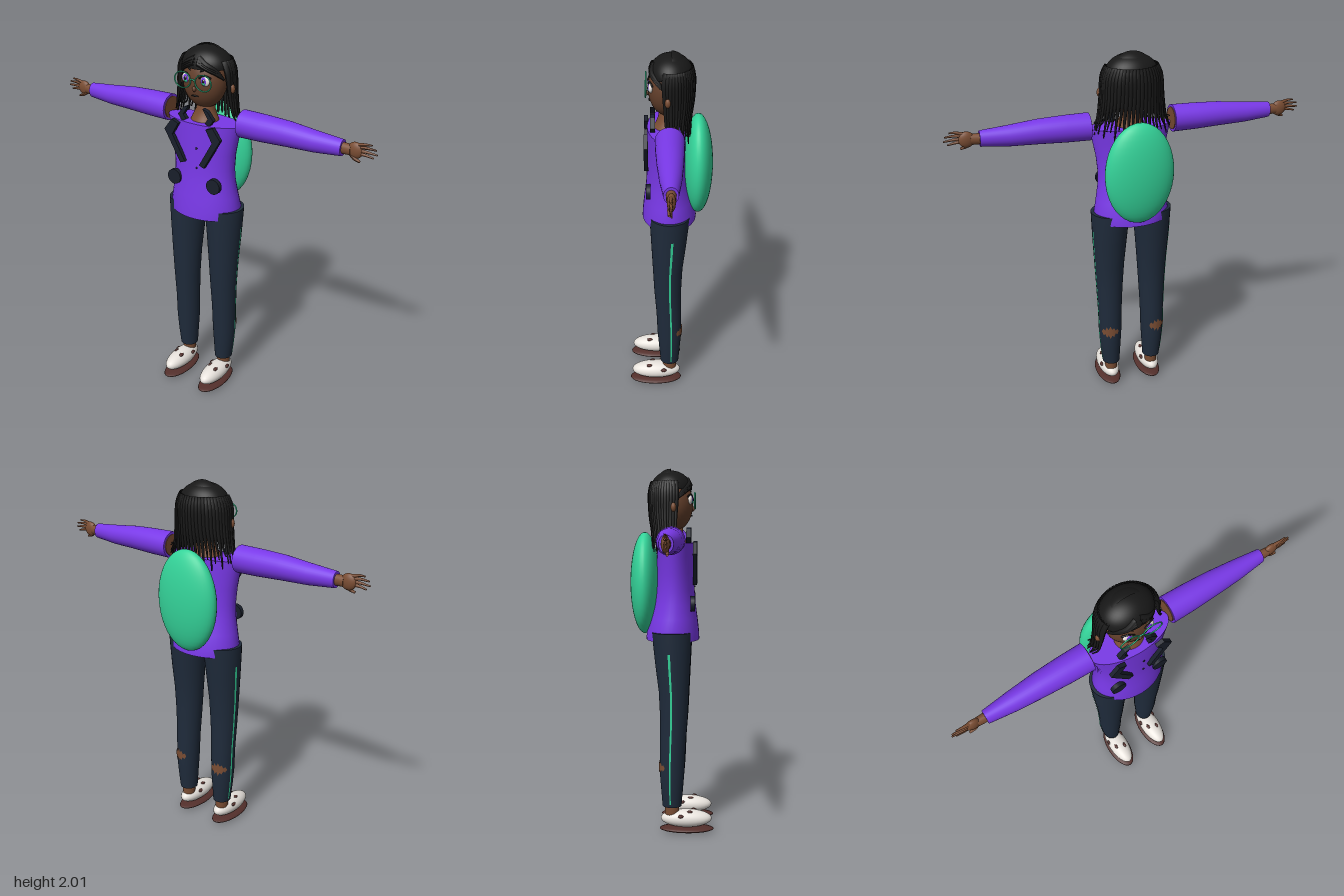
import * as THREE from 'three';

const mat = (name, color, side = THREE.FrontSide) => {
  const m = new THREE.MeshStandardMaterial({ color, side });
  m.name = name;
  return m;
};

// Leg cross-sections, bottom to top: [y, centre x, centre z, radius x, radius z]
const LEG = [
  [0.15, 0.125, 0, 0.05, 0.053], [0.25, 0.128, 0, 0.059, 0.061], [0.35, 0.129, 0, 0.066, 0.069],
  [0.5, 0.128, 0.004, 0.069, 0.071], [0.65, 0.127, 0.01, 0.076, 0.076], [0.8, 0.126, 0.01, 0.085, 0.083],
  [0.95, 0.124, 0.004, 0.096, 0.096], [1.08, 0.121, 0, 0.105, 0.106], [1.13, 0.119, -0.002, 0.109, 0.108],
];
const TORSO = [
  [1.08, 0, 0, 0.205, 0.148], [1.13, 0, 0, 0.21, 0.145], [1.2, 0, 0.005, 0.197, 0.132],
  [1.28, 0, 0.01, 0.185, 0.116], [1.36, 0, 0.013, 0.182, 0.107], [1.45, 0, 0.015, 0.191, 0.104],
  [1.54, 0, 0.015, 0.21, 0.102], [1.61, 0, 0.015, 0.225, 0.101],
];

// Surface from a grid of points, optionally wrapped around
function grid(rows, cols, wrap, point) {
  const pos = [], idx = [], n = wrap ? cols : cols + 1;
  for (let i = 0; i <= rows; i++) for (let j = 0; j < n; j++) pos.push(...point(i, j));
  for (let i = 0; i < rows; i++) for (let j = 0; j < cols; j++) {
    const a = i * n + j, b = i * n + (j + 1) % n;
    idx.push(a, b, b + n, a, b + n, a + n);
  }
  const g = new THREE.BufferGeometry();
  g.setAttribute('position', new THREE.Float32BufferAttribute(pos, 3));
  g.setIndex(idx);
  g.computeVertexNormals();
  return g;
}

const onRing = ([y, cx, cz, rx, rz], a, off = 0) =>
  [cx + (rx + off) * Math.sin(a), y, cz + (rz + off) * Math.cos(a)];

// Closed loft with crisp flat ends
function loft(sections, sides = 32) {
  const a = sections[0], b = sections[sections.length - 1];
  const flat = s => [s[0], s[1], s[2], 0, 0];
  const all = [flat(a), a, ...sections, b, flat(b)];
  return grid(all.length - 1, sides, true, (i, j) => onRing(all[i], (j / sides) * Math.PI * 2));
}

// Leg cross-section at any height, for details that lie on the trousers
function legAt(y, s) {
  let k = 0;
  while (k < LEG.length - 2 && LEG[k + 1][0] < y) k++;
  const t = (y - LEG[k][0]) / (LEG[k + 1][0] - LEG[k][0]);
  const r = LEG[k].map((v, i) => v + (LEG[k + 1][i] - v) * t);
  r[1] *= s;
  return r;
}

// Tube along a curve whose radius runs from r0 to r1
function taper(points, r0, r1, steps = 10, sides = 7) {
  const curve = new THREE.CatmullRomCurve3(points.map(p => new THREE.Vector3(...p)));
  const g = new THREE.TubeGeometry(curve, steps, 1, sides, false);
  const p = g.attributes.position, v = new THREE.Vector3();
  for (let i = 0; i < p.count; i++) {
    const t = Math.floor(i / (sides + 1)) / steps, c = curve.getPointAt(t);
    v.fromBufferAttribute(p, i).sub(c).multiplyScalar(r0 + (r1 - r0) * t).add(c);
    p.setXYZ(i, v.x, v.y, v.z);
  }
  g.computeVertexNormals();
  return g;
}

function plate(points, depth) {
  return new THREE.ExtrudeGeometry(new THREE.Shape(points.map(p => new THREE.Vector2(...p))), { depth, bevelEnabled: false });
}

export function createModel() {
  const M = {
    purple: mat('jacketPurple', 0x7c3aed), navy: mat('trouserNavy', 0x1f2b3b),
    dark: mat('lapelNavy', 0x191f2b), green: mat('emerald', 0x34d399, THREE.DoubleSide),
    hair: mat('hairBlack', 0x181818, THREE.DoubleSide), skin: mat('skinBrown', 0x7a4d33, THREE.DoubleSide),
    face: mat('faceBrown', 0x633f2b), white: mat('shoeWhite', 0xe7e2dc), sole: mat('soleBrown', 0x532f2b),
  };
  const model = new THREE.Group();
  const add = (name, geo, material, x = 0, y = 0, z = 0, parent = model) => {
    const m = new THREE.Mesh(geo, material);
    m.name = name;
    m.position.set(x, y, z);
    parent.add(m);
    return m;
  };
  const ball = (name, material, c, r, seg = 32) =>
    add(name, new THREE.SphereGeometry(1, seg, seg / 2).scale(...r), material, ...c);

  // Body, neck and backpack
  add('jacket', loft(TORSO, 40), M.purple);
  add('neck', loft([[1.59, 0, 0.015, 0.085, 0.08], [1.63, 0, 0.01, 0.07, 0.06], [1.67, 0, 0.005, 0.05, 0.05],
    [1.74, 0, 0.005, 0.048, 0.048]]), M.skin);
  ball('backpack', M.green, [0, 1.39, -0.155], [0.19, 0.28, 0.08], 40);
  for (const y of [1.48, 1.37, 1.25]) ball('button', M.dark, [0.022, y, 0.122], [0.006, 0.006, 0.004], 10);

  // Head and hair cap
  ball('head', M.face, [0, 1.82, 0.012], [0.122, 0.143, 0.098], 40);
  ball('nose', M.face, [0, 1.795, 0.108], [0.012, 0.014, 0.012], 16);
  ball('mouth', M.hair, [0, 1.757, 0.1015], [0.022, 0.005, 0.006], 16);
  add('hairCap', new THREE.SphereGeometry(1, 40, 14, 0, Math.PI * 2, 0, Math.PI * 0.5).scale(0.142, 0.103, 0.113),
    M.hair, 0, 1.897, -0.01);
  add('hairBack', new THREE.SphereGeometry(1, 24, 20, Math.PI, Math.PI).scale(0.135, 0.15, 0.105), M.hair, 0, 1.86, -0.012);

  // Curtain of hanging strands, from one temple round the back to the other
  const N = 30;
  for (let i = 0; i <= N; i++) {
    const a = (-0.1 + (1.2 * i) / N) * Math.PI * 0.98 + 0.03, c = Math.cos(a), d = -Math.sin(a);
    const end = 1.55 + 0.07 * Math.abs(c) + 0.035 * Math.sin(i * 2.4);
    add('hairStrand', taper([
      [c * 0.125, 1.935, d * 0.095 - 0.01], [c * 0.15, 1.89, d * 0.112 - 0.008],
      [c * 0.168, 1.76, d * 0.112 - 0.01], [c * 0.188, 1.66, d * 0.1 - 0.012], [c * 0.208, end, d * 0.09 - 0.025],
    ], 0.019, 0.003, 14), M.hair);
  }

  for (const s of [1, -1]) {
    // Fringe swept to the sides
    for (let k = 0; k < 3; k++) add('fringe', taper([
      [s * 0.01, 1.95 - k * 0.012, 0.078 + k * 0.006], [s * 0.06, 1.925 - k * 0.01, 0.087],
      [s * 0.105, 1.895 - k * 0.01, 0.06], [s * 0.128, 1.845, 0.025],
    ], 0.016, 0.005), M.hair);
    ball('ear', M.skin, [s * 0.165, 1.8, 0.008], [0.018, 0.026, 0.016], 16);

    // Eyes, brows and glasses
    ball('eyeWhite', M.white, [s * 0.057, 1.842, 0.094], [0.029, 0.027, 0.013], 24);
    ball('iris', M.purple, [s * 0.056, 1.842, 0.1], [0.018, 0.022, 0.01], 20);
    ball('irisGlow', M.green, [s * 0.056, 1.833, 0.104], [0.011, 0.011, 0.008], 16);
    ball('pupil', M.hair, [s * 0.056, 1.843, 0.106], [0.008, 0.011, 0.008], 16);
    ball('eyeGlint', M.white, [s * 0.056 + 0.006, 1.851, 0.111], [0.005, 0.005, 0.004], 10);
    add('eyelash', taper([[s * 0.028, 1.855, 0.107], [s * 0.055, 1.871, 0.1], [s * 0.088, 1.858, 0.084]], 0.004, 0.005), M.hair);
    add('eyebrow', taper([[s * 0.03, 1.89, 0.097], [s * 0.06, 1.899, 0.088], [s * 0.09, 1.888, 0.074]], 0.005, 0.003), M.hair);
    add('glassesRim', new THREE.TorusGeometry(1, 0.075, 8, 32).scale(0.05, 0.042, 0.05), M.green, s * 0.064, 1.838, 0.121);

    // Collar, lapel and round pocket
    const sx = p => p.map(([x, y]) => [s * x, y]);
    add('collar', plate(sx([[0.045, 1.695], [0.075, 1.685], [0.112, 1.64], [0.085, 1.605], [0.06, 1.62], [0.078, 1.645]]), 0.025),
      M.dark, 0, 0, 0.075);
    add('lapel', plate(sx([[0.178, 1.555], [0.13, 1.617], [0.088, 1.6], [0.127, 1.534], [0.046, 1.395], [0.076, 1.383]]), 0.022),
      M.dark, 0, 0, 0.112);
    add('pocket', new THREE.CylinderGeometry(0.042, 0.042, 0.024, 24).rotateX(Math.PI / 2), M.dark, s * 0.127, 1.285, 0.112);

    // Arm, laid along x
    const arm = new THREE.Group();
    arm.name = s > 0 ? 'leftArm' : 'rightArm';
    arm.position.y = 1.62;
    arm.rotation.z = -s * Math.PI / 2;
    model.add(arm);
    const dy = -s * 0.006;
    add('sleeve', loft([[0.23, dy, 0, 0.073, 0.075], [0.36, dy, 0, 0.071, 0.072], [0.5, dy, 0, 0.065, 0.065],
      [0.65, 0, 0, 0.055, 0.053], [0.8, 0, 0, 0.042, 0.035]]), M.purple, 0, 0, 0, arm);
    add('shoulderSkin', loft([[0.226, dy, 0, 0.06, 0.062], [0.235, dy, 0, 0.06, 0.062]]), M.skin, 0, 0, 0, arm);
    add('wrist', loft([[0.79, 0, 0, 0.029, 0.024], [0.845, 0, 0, 0.028, 0.022]], 20), M.skin, 0, 0, 0, arm);

    // Hand with fanned fingers
    ball('palm', M.skin, [s * 0.865, 1.622, 0], [0.042, 0.042, 0.02], 24);
    [[0.95, 0.045], [0.974, 0.025], [0.98, 0.003], [0.962, -0.017]].forEach(([x, y]) => add('finger',
      taper([[s * 0.87, 1.622 + y * 0.6, 0], [s * 0.92, 1.624 + y * 0.85, 0.003], [s * x, 1.618 + y, 0]], 0.011, 0.004), M.skin));
    add('thumb', taper([[s * 0.84, 1.61, 0], [s * 0.865, 1.585, 0.008], [s * 0.898, 1.572, 0.01]], 0.014, 0.006), M.skin);

    // Trouser leg with side stripe and torn patch on the calf
    add('trouserLeg', loft(LEG.map(([y, cx, ...r]) => [y, s * cx, ...r])), M.navy);
    add('sideStripe', grid(24, 1, false, (i, j) =>
      onRing(legAt(0.17 + i * 0.0354, s), s * 1.72 + (j - 0.5) * 0.13, 0.003)), M.green);
    const jag = [0.004, 0.022, 0.012, 0.036, 0.018, 0.042, 0.02, 0.03, 0.01, 0.018, 0.003];
    add('tornPatch', grid(1, 10, false, (i, j) =>
      onRing(legAt(0.38 + (i ? 1 : -1) * jag[j], s), Math.PI - s * 0.25 + (j - 5) * 0.15, 0.004)), M.skin);

    // Ankle and shoe
    add('ankle', loft([[0.09, s * 0.125, 0, 0.036, 0.04], [0.17, s * 0.125, 0, 0.036, 0.04]], 20), M.skin);
    ball('shoe', M.white, [s * 0.125, 0.078, 0.08], [0.06, 0.05, 0.143]);
    ball('sole', M.sole, [s * 0.125, 0.018, 0.082], [0.069, 0.018, 0.152]);
    [[0.025, 0.118, 0.12], [-0.025, 0.118, 0.1], [0.048, 0.1, 0.035], [-0.048, 0.1, 0.05]].forEach(([x, y, z]) =>
      ball('shoeScuff', M.sole, [s * 0.125 + x, y, z], [0.011, 0.01, 0.018], 10));
  }
  add('glassesBridge', taper([[-0.016, 1.842, 0.121], [0, 1.848, 0.123], [0.016, 1.842, 0.121]], 0.004, 0.004), M.green);
  return model;
}
